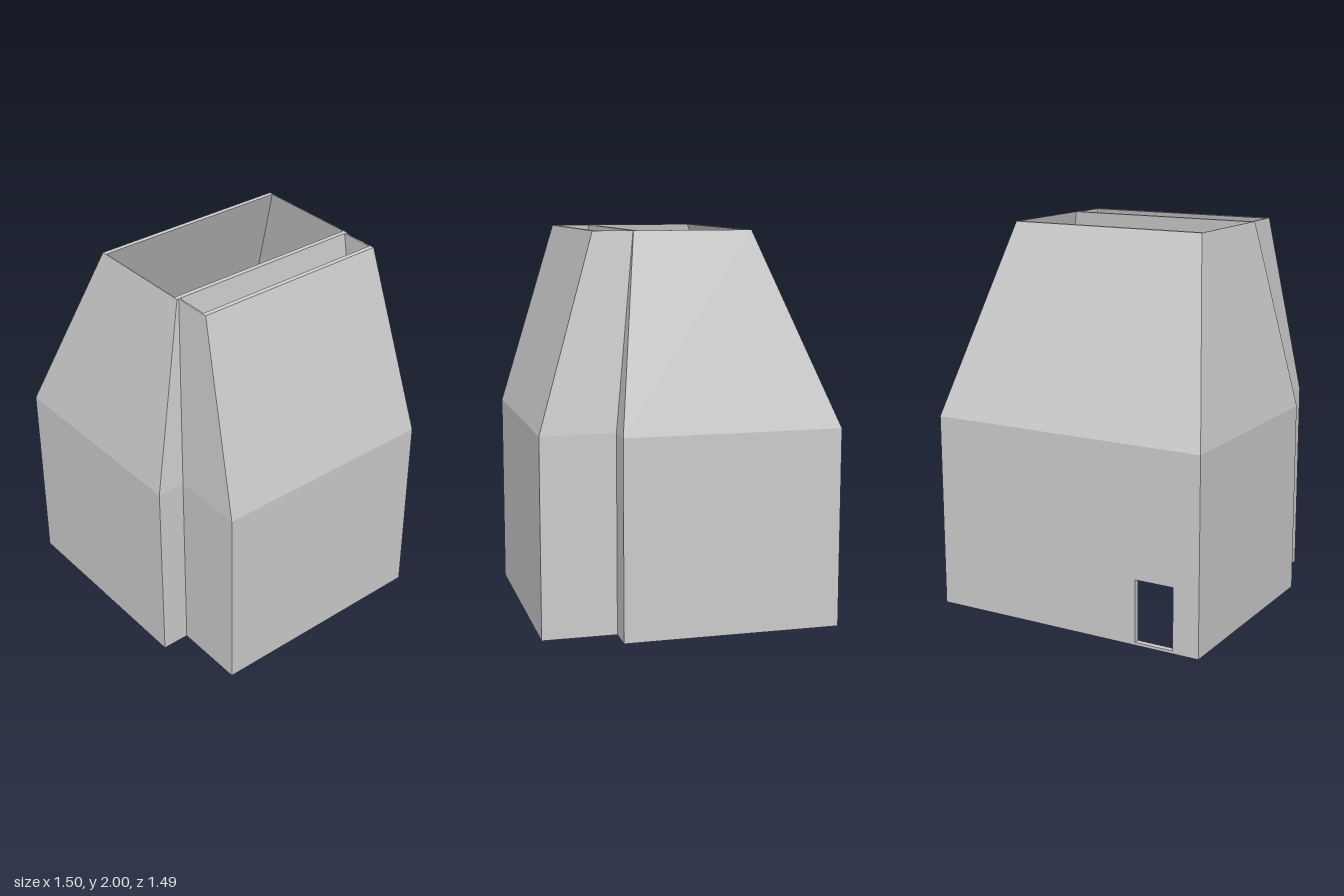
import * as THREE from 'three';

const V = (x, y, z) => new THREE.Vector3(x, y, z);
const material = new THREE.MeshStandardMaterial({ color: 0xcccccc, flatShading: true, side: THREE.DoubleSide });

// A wall slab between matching outer and inner outlines; caps says which outline edges get a rim face.
function wallGeometry(outer, inner, caps, holeOuter = [], holeInner = []) {
  const pos = [];
  const tri = (...p) => p.forEach(v => pos.push(v.x, v.y, v.z));
  const quad = (a, b, c, d) => { tri(a, b, c); tri(a, c, d); };
  const dir = outer[outer.length - 3].clone().sub(outer[0]).setY(0).normalize();
  const flat = list => list.map(p => new THREE.Vector2(p.dot(dir), p.y));
  const faces = THREE.ShapeUtils.triangulateShape(flat(outer), holeOuter.length ? [flat(holeOuter)] : []);
  const o = [...outer, ...holeOuter], n = [...inner, ...holeInner];
  for (const [a, b, c] of faces) {
    tri(o[a], o[b], o[c]);
    tri(n[c], n[b], n[a]);
  }
  const rim = (p, q, i) => {
    const j = (i + 1) % p.length;
    quad(p[j], p[i], q[i], q[j]);
  };
  outer.forEach((_, i) => caps(i) && rim(outer, inner, i));
  holeOuter.forEach((_, i) => rim(holeOuter, holeInner, i));
  const g = new THREE.BufferGeometry();
  g.setAttribute('position', new THREE.Float32BufferAttribute(pos, 3));
  g.computeVertexNormals();
  return g;
}

// Four corners of a level: front right, front left, back left, back right
const corners = (y, { x, b, f }) => [V(-x, y, f), V(x, y, f), V(x, y, b), V(-x, y, b)];
const sideNames = ['FrontWall', 'LeftWall', 'BackWall', 'RightWall'];

// Hollow shaft of stacked levels; openings add doorway points to the lower walls
function shaft(name, levels, sides, openings = {}) {
  const group = new THREE.Group();
  group.name = name;
  for (let k = 0; k < levels.length - 1; k++) {
    const [lo, hi] = [levels[k], levels[k + 1]];
    const rings = ['out', 'in'].map(s => [corners(lo.y, lo[s]), corners(hi.y, hi[s])]);
    for (const i of sides) {
      const j = (i + 1) % 4;
      const { notch = [], hole = [] } = (k === 0 && openings[i]) || {};
      const at = (pts, z) => pts.map(([x, y]) => V(x, y, z));
      const [outer, inner] = rings.map(([l, h]) => [l[i], ...at(notch, l[i].z), l[j], h[j], h[i]]);
      const [ho, hn] = rings.map(([l]) => at(hole, l[i].z));
      const bottomEdges = notch.length + 1;
      const caps = e => (k === 0 && e < bottomEdges) || (k === levels.length - 2 && e === bottomEdges + 1);
      const mesh = new THREE.Mesh(wallGeometry(outer, inner, caps, ho, hn), material);
      mesh.name = (k ? 'upper' : 'lower') + sideNames[i];
      group.add(mesh);
    }
  }
  return group;
}

export function createModel() {
  const model = new THREE.Group();
  model.name = 'taperedShaft';

  // Main chamber, with a doorway in the back wall and another through the partition
  model.add(shaft('mainChamber', [
    { y: 0.015, out: { x: 0.75, b: -0.745, f: 0.365 }, in: { x: 0.72, b: -0.715, f: 0.335 } },
    { y: 1.03, out: { x: 0.75, b: -0.745, f: 0.365 }, in: { x: 0.72, b: -0.715, f: 0.335 } },
    { y: 2, out: { x: 0.535, b: -0.335, f: 0.26 }, in: { x: 0.53, b: -0.31, f: 0.235 } },
  ], [0, 1, 2, 3], {
    0: { notch: [[-0.35, 0.015], [0.39, 0], [0.39, 0.355], [0.575, 0.355], [0.575, 0.015]] },
    2: { hole: [[-0.4, 0.03], [-0.4, 0.355], [-0.61, 0.355], [-0.61, 0.03]] },
  }));

  // Narrow front chamber, closed at the back by the partition
  model.add(shaft('frontChamber', [
    { y: 0.015, out: { x: 0.605, b: 0.365, f: 0.745 }, in: { x: 0.575, b: 0.365, f: 0.715 } },
    { y: 1.03, out: { x: 0.605, b: 0.365, f: 0.745 }, in: { x: 0.575, b: 0.365, f: 0.715 } },
    { y: 2, out: { x: 0.525, b: 0.26, f: 0.46 }, in: { x: 0.517, b: 0.26, f: 0.435 } },
  ], [0, 1, 3]));

  return model;
}
